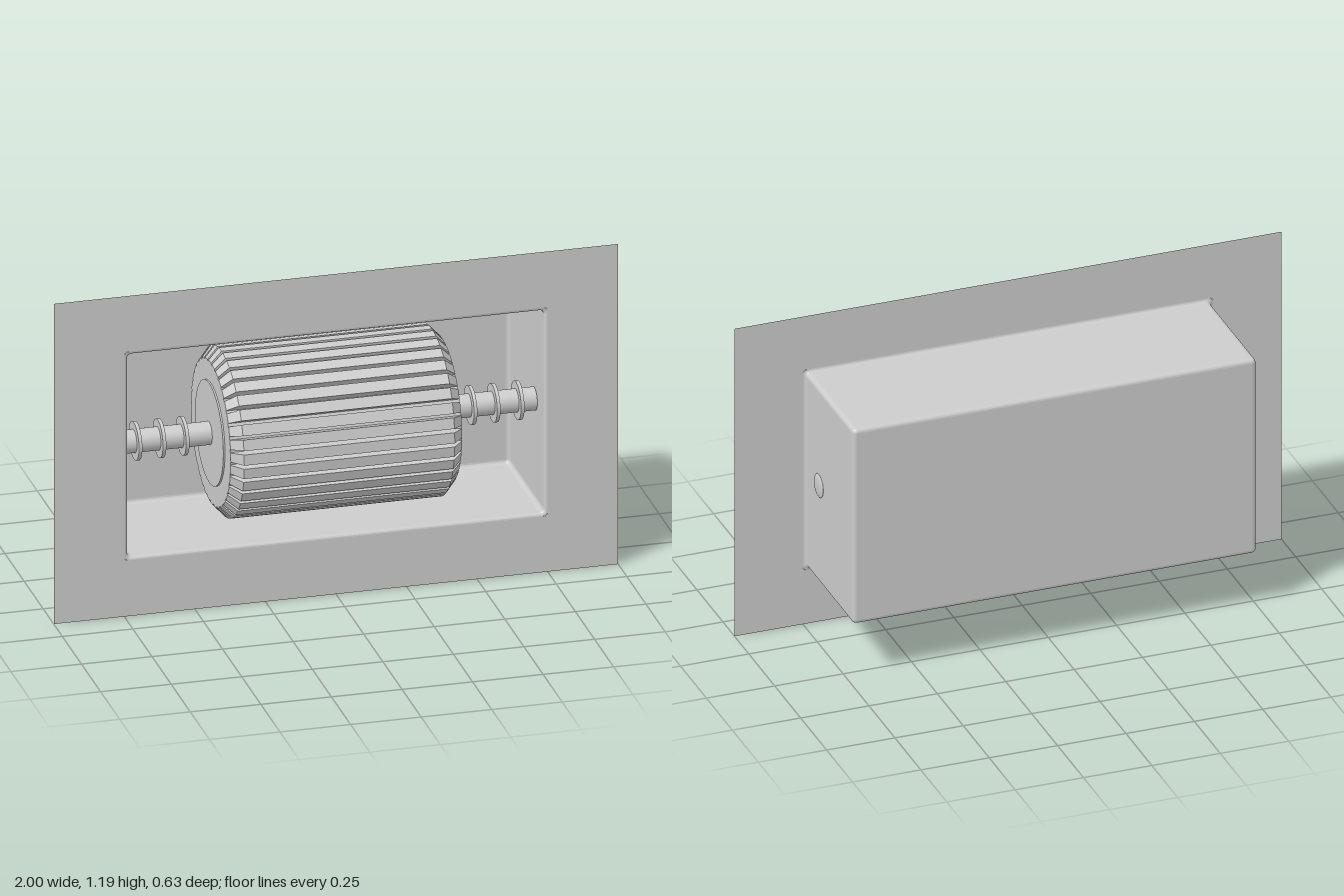
import * as THREE from 'three';

const CY = 0.595, AXIS_Z = 0.015;   // height of the opening, depth of the axle
const FRONT = 0.138, BACK = -0.315;

// Skin a list of equal-length point loops; capStart / capEnd close it with a fan.
function loft(loops, capStart, capEnd) {
  const n = loops[0].length, pos = [], index = [];
  loops.forEach(loop => loop.forEach(p => pos.push(...p)));
  for (let i = 0; i < loops.length - 1; i++) {
    for (let j = 0; j < n; j++) {
      const k = (j + 1) % n, a = i * n, b = a + n;
      index.push(a + j, a + k, b + k, a + j, b + k, b + j);
    }
  }
  const cap = (row, flip) => {
    const centre = [0, 1, 2].map(c => loops[row].reduce((s, p) => s + p[c], 0) / n);
    const m = pos.length / 3;
    pos.push(...centre);
    for (let j = 0; j < n; j++) {
      const a = row * n + j, b = row * n + (j + 1) % n;
      index.push(m, flip ? b : a, flip ? a : b);
    }
  };
  if (capStart) cap(0, true);
  if (capEnd) cap(loops.length - 1, false);
  const g = new THREE.BufferGeometry();
  g.setAttribute('position', new THREE.Float32BufferAttribute(pos, 3));
  g.setIndex(index);
  const flat = g.toNonIndexed();
  flat.computeVertexNormals();
  return flat;
}

// Rounded rectangle in the xy plane, counter-clockwise
function roundedRect(w, h, r, z) {
  const pts = [], steps = 4;
  [[1, 1], [-1, 1], [-1, -1], [1, -1]].forEach(([sx, sy], q) => {
    for (let i = 0; i <= steps; i++) {
      const a = (q + i / steps) * Math.PI / 2;
      pts.push([sx * (w - r) + r * Math.cos(a), CY + sy * (h - r) + r * Math.sin(a), z]);
    }
  });
  return pts;
}

// Toothed outline around the x axis
function gearLoop(x, root, tip) {
  const pts = [], teeth = 36, half = THREE.MathUtils.degToRad(3.7);
  for (let i = 0; i < teeth; i++) {
    const a = THREE.MathUtils.degToRad(3 + i * 360 / teeth);
    [[root, -half], [tip, -half], [tip, half], [root, half]].forEach(([r, d]) =>
      pts.push([x, r * Math.sin(a + d), r * Math.cos(a + d)]));
  }
  return pts;
}

export function createModel() {
  const grey = new THREE.MeshStandardMaterial({ color: 0xcccccc, side: THREE.DoubleSide });
  grey.name = 'light grey';
  const model = new THREE.Group();
  model.name = 'recessedRoller';

  const add = (name, geometry, parent = model) => {
    const mesh = new THREE.Mesh(geometry, grey);
    mesh.name = name;
    parent.add(mesh);
    return mesh;
  };

  // Thin face plate with the opening cut out
  const W = 0.738, H = 0.376, LIP = 0.012;
  const plate = new THREE.Shape();
  plate.moveTo(-1, 0).lineTo(1, 0).lineTo(1, 1.19).lineTo(-1, 1.19).closePath();
  const opening = roundedRect(W + LIP, H + LIP, 0.014, 0).map(p => new THREE.Vector2(p[0], p[1]));
  plate.holes.push(new THREE.Path(opening.reverse()));
  add('facePlate', new THREE.ShapeGeometry(plate)).position.z = FRONT;

  // Open housing: rounded back edge, straight walls, flared lip at the plate
  const loops = [], R = 0.015;
  for (let i = 0; i <= 4; i++) {
    const a = i / 4 * Math.PI / 2, inset = R * (1 - Math.sin(a));
    loops.push(roundedRect(W - inset, H - inset, 0.016 - inset, BACK + R * (1 - Math.cos(a))));
  }
  for (let i = 0; i <= 4; i++) {
    const a = i / 4 * Math.PI / 2, out = LIP * (1 - Math.cos(a));
    loops.push(roundedRect(W + out, H + out, 0.016, FRONT - LIP + LIP * Math.sin(a)));
  }
  add('housing', loft(loops, true, false));

  // Roller and axle share one centre line
  const rollerUnit = new THREE.Group();
  rollerUnit.name = 'rollerUnit';
  rollerUnit.position.set(0, CY, AXIS_Z);
  model.add(rollerUnit);

  // Grooved roller with chamfered ends
  const stations = [[0.41, 0.26], [0.373, 0.3], [-0.373, 0.3], [-0.41, 0.26]];
  add('roller', loft(stations.map(([x, tip]) => gearLoop(x, 0.255, tip)), true, true), rollerUnit);

  const disc = (name, radius, x0, x1) => {
    const g = new THREE.CylinderGeometry(radius, radius, Math.abs(x1 - x0), 40);
    g.rotateZ(-Math.PI / 2);
    g.translate((x0 + x1) / 2, 0, 0);
    return add(name, g, rollerUnit);
  };

  for (const s of [-1, 1]) {
    disc('rollerEndDisc', 0.185, s * 0.4, s * 0.416);
    disc('axle', 0.041, s * 0.4, s * 0.736);
    for (const x of [0.51, 0.592, 0.677]) disc('axleRing', 0.068, s * (x - 0.006), s * (x + 0.006));
  }

  // Domed axle end showing through the left wall
  const dome = new THREE.SphereGeometry(0.043, 32, 12, 0, Math.PI * 2, 0, Math.PI / 2);
  dome.scale(1, 0.2, 1);
  dome.rotateZ(-Math.PI / 2);
  add('axleCap', dome, rollerUnit).position.x = W;

  return model;
}
